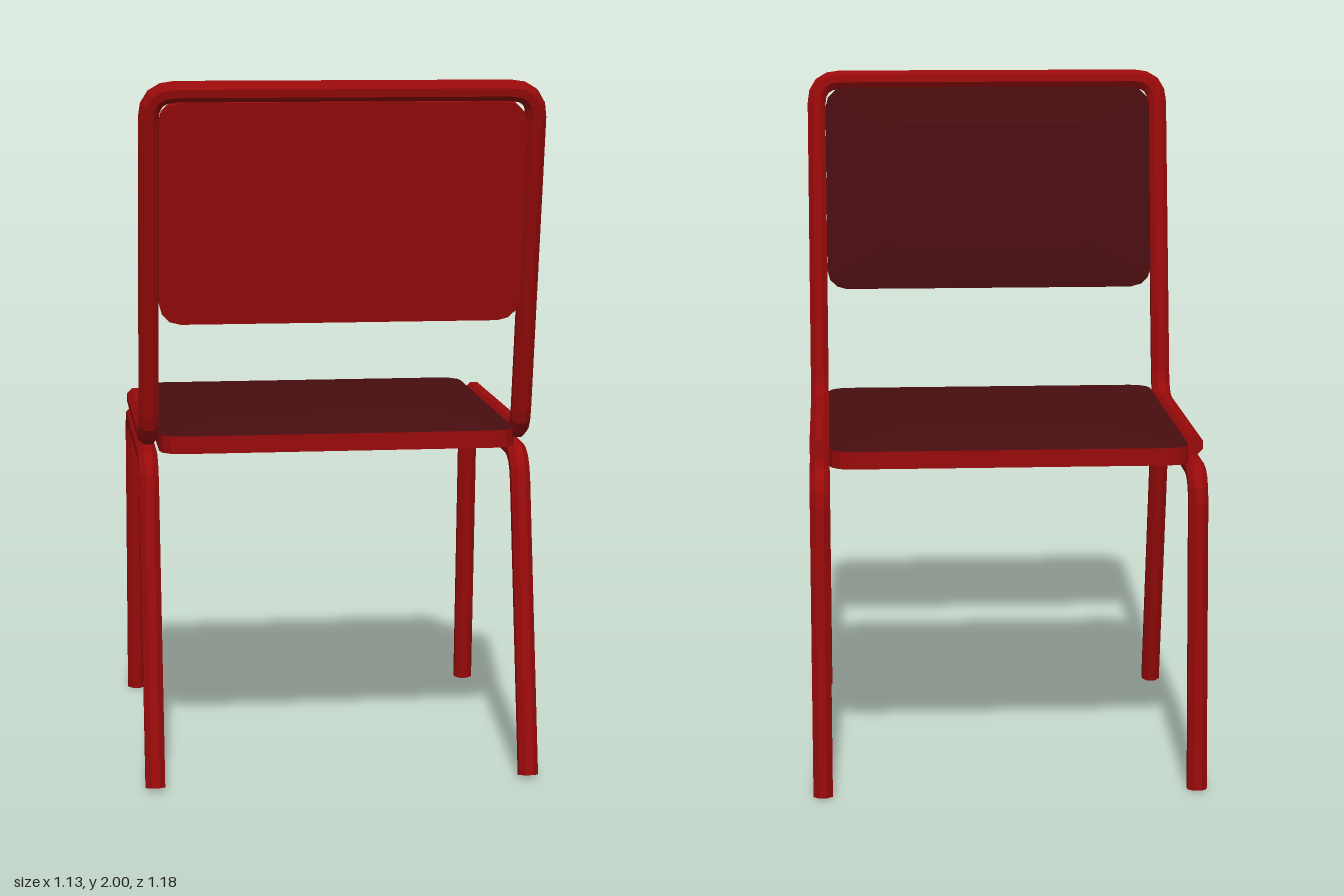
import * as THREE from 'three';

const red = new THREE.MeshStandardMaterial({ color: 0x990a0a, flatShading: true });
const dark = new THREE.MeshStandardMaterial({ color: 0x480d10, flatShading: true });
const V = (x, y, z) => new THREE.Vector3(x, y, z);

// Skin a list of rings (each counter-clockwise about the sweep direction), with optional end caps
function loft(rings, capStart = true, capEnd = true) {
  const pos = [];
  const tri = (...pts) => pts.forEach((p) => pos.push(p.x, p.y, p.z));
  const n = rings[0].length;
  for (let i = 0; i < rings.length - 1; i++) {
    for (let j = 0; j < n; j++) {
      const k = (j + 1) % n, a = rings[i], b = rings[i + 1];
      tri(a[j], a[k], b[k]);
      tri(a[j], b[k], b[j]);
    }
  }
  const cap = (ring, flip) => {
    const c = ring.reduce((s, p) => s.add(p), V(0, 0, 0)).divideScalar(n);
    for (let j = 0; j < n; j++) {
      const k = (j + 1) % n;
      if (flip) tri(c, ring[k], ring[j]);
      else tri(c, ring[j], ring[k]);
    }
  };
  if (capStart) cap(rings[0], true);
  if (capEnd) cap(rings[rings.length - 1], false);
  const geo = new THREE.BufferGeometry();
  geo.setAttribute('position', new THREE.Float32BufferAttribute(pos, 3));
  geo.computeVertexNormals();
  return geo;
}

// Replace each inner corner of a path by a short bend
function bendPath(corners, size) {
  const out = [corners[0]];
  for (let i = 1; i < corners.length - 1; i++) {
    const c = corners[i];
    const toward = (p) => c.clone().add(p.clone().sub(c).setLength(size));
    const curve = new THREE.QuadraticBezierCurve3(toward(corners[i - 1]), c, toward(corners[i + 1]));
    out.push(...curve.getPoints(4));
  }
  out.push(corners[corners.length - 1]);
  return out;
}

// Eight-sided bent pipe with mitred joints
function pipe(name, corners, bend, radius = 0.03) {
  const path = bendPath(corners, bend);
  const dirs = path.slice(1).map((p, i) => p.clone().sub(path[i]).normalize());
  const u = V(1, 0, 0), v = dirs[0].clone().cross(u);
  let ring = [];
  for (let j = 0; j < 8; j++) {
    const a = (j + 0.5) * Math.PI / 4;
    ring.push(path[0].clone().addScaledVector(u, radius * Math.cos(a)).addScaledVector(v, radius * Math.sin(a)));
  }
  const rings = [ring];
  dirs.forEach((d, i) => {
    const end = path[i + 1];
    const normal = d.clone().add(dirs[i + 1] || d).normalize();
    ring = ring.map((p) => p.clone().addScaledVector(d, end.clone().sub(p).dot(normal) / d.dot(normal)));
    rings.push(ring);
  });
  const mesh = new THREE.Mesh(loft(rings), red);
  mesh.name = name;
  return mesh;
}

// Rounded rectangle in the xz plane
function outline(w, d, r, y, scale = 1) {
  const pts = [];
  for (let q = 0; q < 4; q++) {
    const mid = (q + 0.5) * Math.PI / 2;
    const cz = Math.sign(Math.cos(mid)) * (d / 2 - r), cx = Math.sign(Math.sin(mid)) * (w / 2 - r);
    for (let k = 0; k < 4; k++) {
      const a = (q + k / 3) * Math.PI / 2;
      pts.push(V((cx + r * Math.sin(a)) * scale, y, (cz + r * Math.cos(a)) * scale));
    }
  }
  return pts;
}

// Board with a gently raised dark face
function pad(name, w, d, thick, rise) {
  const group = new THREE.Group();
  group.name = name;
  const board = new THREE.Mesh(loft([outline(w, d, 0.06, 0), outline(w, d, 0.06, thick)], true, false), red);
  board.name = name + 'Board';
  const face = new THREE.Mesh(
    loft([outline(w, d, 0.06, thick), outline(w, d, 0.06, thick + rise, 0.62)], false, true), dark);
  face.name = name + 'Face';
  group.add(board, face);
  return group;
}

export function createModel() {
  const model = new THREE.Group();
  model.name = 'chair';
  const X = 0.538;

  // One bent pipe per side makes a rear leg, rail and front leg
  for (const [side, x] of [['left', X], ['right', -X]]) {
    model.add(pipe(side + 'Legs', [
      V(x, 0.006, 0.557), V(x, 0.918, 0.37), V(x, 0.918, -0.505), V(x, 0.002, -0.565),
    ], 0.085));
  }

  // Seat rails, uprights and top bar in a single pipe
  model.add(pipe('backFrame', [
    V(X, 0.98, -0.4), V(X, 0.98, 0.372), V(X, 1.971, 0.56),
    V(-X, 1.971, 0.56), V(-X, 0.98, 0.372), V(-X, 0.98, -0.4),
  ], 0.075));

  const seat = pad('seat', 1.02, 1.025, 0.05, 0.022);
  seat.position.set(0, 0.952, -0.038);
  model.add(seat);

  // Backrest leans away from the seat
  const backrest = pad('backrest', 1.02, 0.63, 0.045, 0.02);
  backrest.position.set(0, 1.63, 0.525);
  backrest.rotation.x = -(Math.PI / 2 - 0.166);
  model.add(backrest);

  return model;
}
